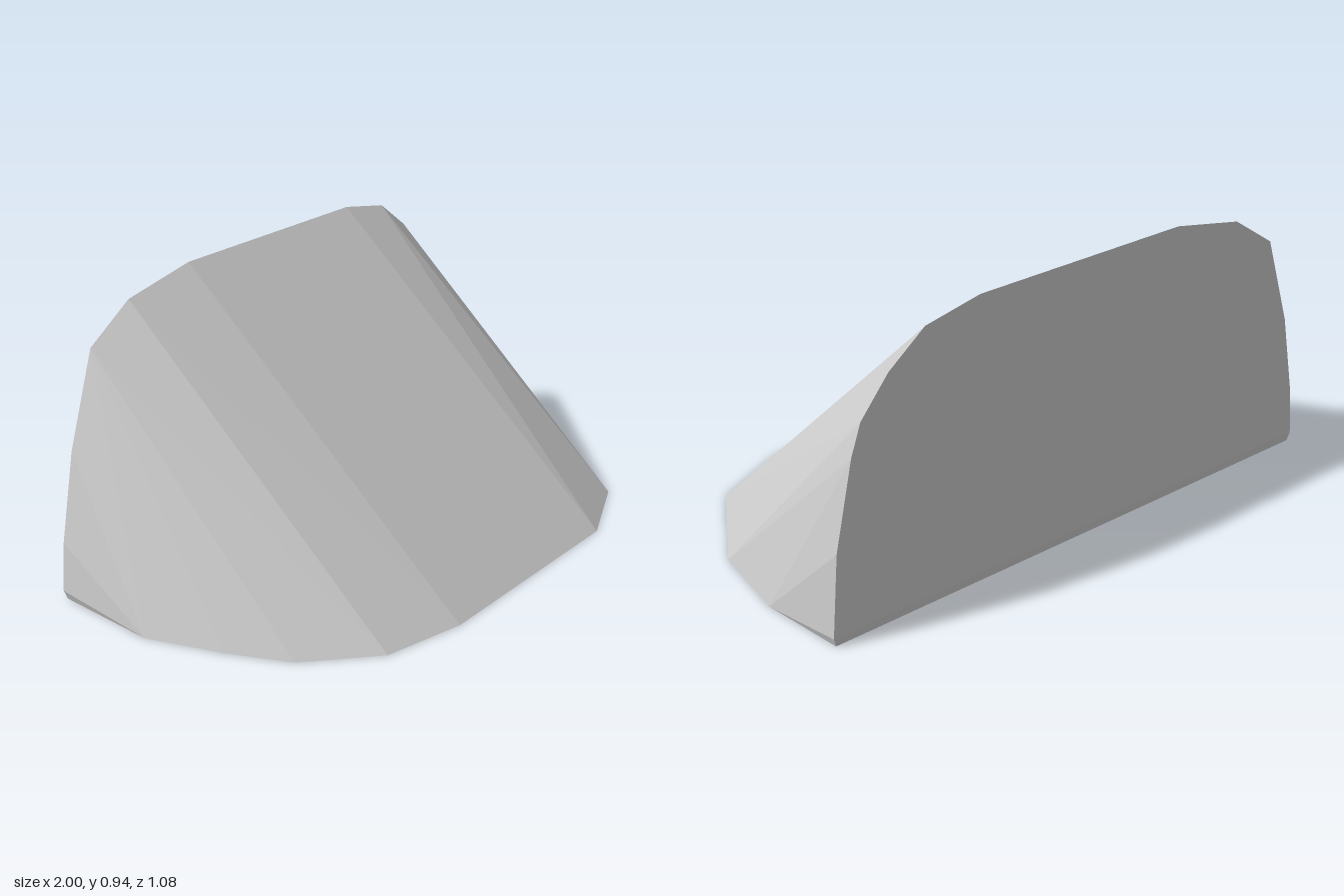
import * as THREE from 'three';
import { ConvexGeometry } from 'three/addons/geometries/ConvexGeometry.js';

export function createModel() {
  const group = new THREE.Group();
  group.name = 'wedge';
  const grey = new THREE.MeshStandardMaterial({ color: 0xcccccc });
  grey.name = 'light grey';

  // Outline of the flat underside (x, z)
  const base = [
    [-0.97, -0.535], [-1, -0.17], [-0.92, 0.08], [-0.835, 0.28], [-0.635, 0.47], [-0.36, 0.535],
    [0.44, 0.53], [0.73, 0.4], [0.945, 0.06], [1, -0.24], [0.975, -0.535],
  ];
  // Outline of the upright back (x, y)
  const back = [
    [-0.98, 0.03], [-0.965, 0.19], [-0.905, 0.48], [-0.8, 0.785], [-0.63, 0.895], [-0.36, 0.945],
    [0.44, 0.94], [0.64, 0.9], [0.77, 0.8], [0.87, 0.68], [0.905, 0.58], [0.965, 0.3], [0.985, 0.03],
  ];

  // Faceted slope and flanks stretched between the two outlines
  const points = [
    ...base.map(([x, z]) => new THREE.Vector3(x, 0, z)),
    ...back.map(([x, y]) => new THREE.Vector3(x, y, -0.54)),
  ];
  const body = new THREE.Mesh(new ConvexGeometry(points), grey);
  body.name = 'wedgeBody';
  group.add(body);
  return group;
}
